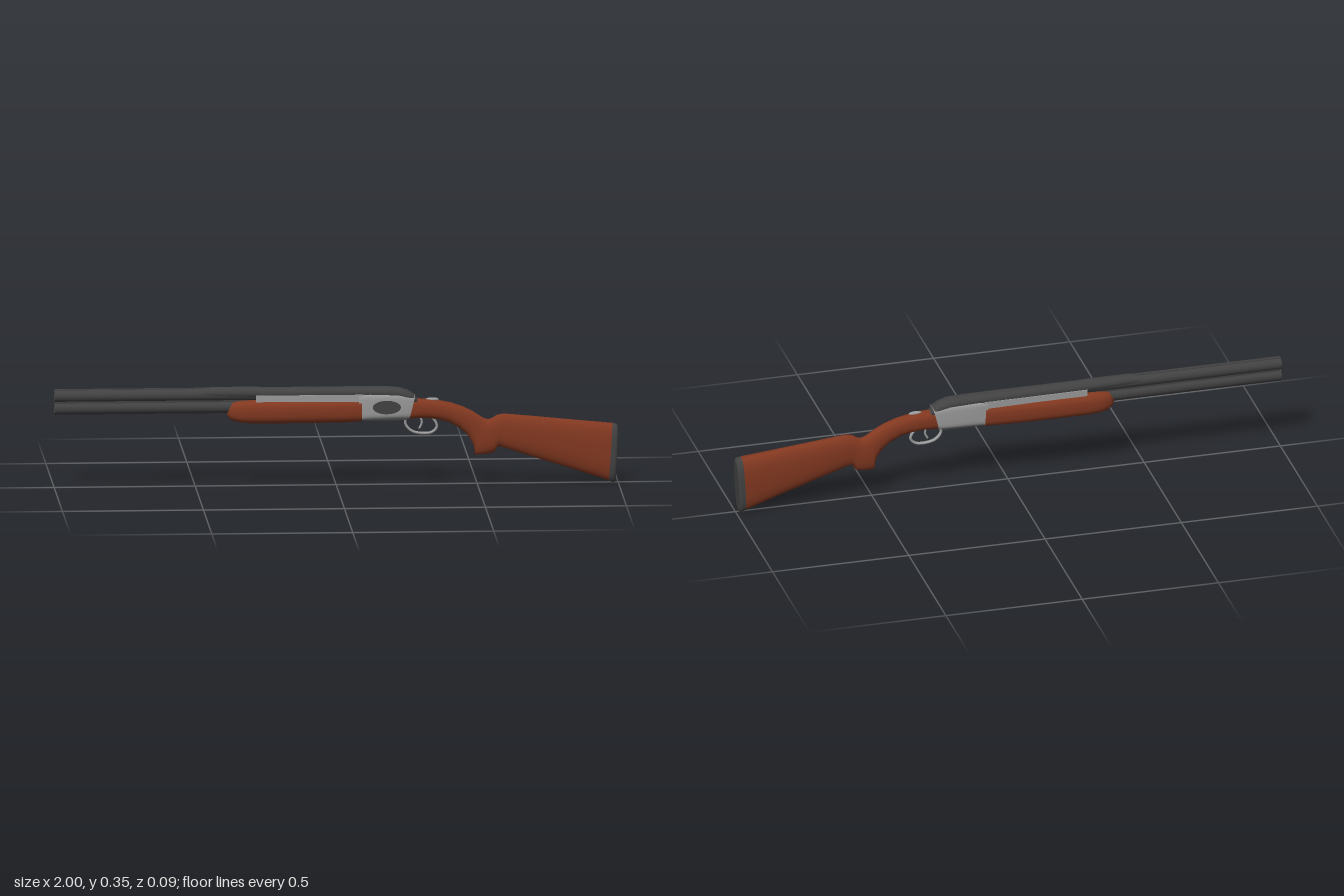
import * as THREE from 'three';

const mat = (name, color) => {
  const m = new THREE.MeshStandardMaterial({ color });
  m.name = name;
  return m;
};

// Loft of superellipse rings. Section: [topX, topY, bottomX, bottomY, halfWidth, exponent]
function loft(sections, n = 32) {
  const pos = [], idx = [];
  const ring = ([tx, ty, bx, by, w, e = 2.4]) => {
    for (let i = 0; i < n; i++) {
      const a = (i / n) * Math.PI * 2, c = Math.cos(a), s = Math.sin(a);
      const v = Math.sign(c) * Math.abs(c) ** (2 / e);
      const u = Math.sign(s) * Math.abs(s) ** (2 / e);
      pos.push((tx + bx) / 2 + v * (tx - bx) / 2, (ty + by) / 2 + v * (ty - by) / 2, u * w);
    }
  };
  sections.forEach(ring);
  for (let k = 0; k < sections.length - 1; k++) {
    for (let i = 0; i < n; i++) {
      const a = k * n + i, b = k * n + (i + 1) % n;
      idx.push(a, a + n, b, b, a + n, b + n);
    }
  }
  // End caps with their own vertices
  [sections[0], sections[sections.length - 1]].forEach((s, end) => {
    const base = pos.length / 3;
    ring(s);
    for (let i = 1; i < n - 1; i++) {
      if (end) idx.push(base, base + i + 1, base + i);
      else idx.push(base, base + i, base + i + 1);
    }
  });
  // Orient outward: flip everything if the signed volume is negative
  let vol = 0;
  const p = (i) => new THREE.Vector3(pos[i * 3], pos[i * 3 + 1], pos[i * 3 + 2]);
  for (let i = 0; i < idx.length; i += 3) vol += p(idx[i]).dot(p(idx[i + 1]).cross(p(idx[i + 2])));
  if (vol < 0) idx.reverse();
  const g = new THREE.BufferGeometry();
  g.setAttribute('position', new THREE.Float32BufferAttribute(pos, 3));
  g.setIndex(idx);
  g.computeVertexNormals();
  return g;
}

// Upright section at one x
const up = (x, top, bottom, w, e) => [x, top, x, bottom, w, e];

export function createModel() {
  const group = new THREE.Group();
  group.name = 'sportingGun';
  const wood = mat('reddish wood', 0x823820);
  const dark = mat('dark steel', 0x424242);
  const silver = mat('silver steel', 0x9a9a9a);

  const add = (name, geometry, material, x = 0, y = 0, z = 0) => {
    const m = new THREE.Mesh(geometry, material);
    m.name = name;
    m.position.set(x, y, z);
    group.add(m);
    return m;
  };

  // Two stacked barrels with open bores
  const barrel = (name, y, end) => {
    const profile = [[0.0001, -0.9], [0.016, -0.9], [0.016, -1], [0.016, -1], [0.0225, -1],
      [0.0225, -1], [0.0225, -0.5], [0.024, end], [0.024, end], [0.0001, end]]
      .map(([r, t]) => new THREE.Vector2(r, t));
    const m = add(name, new THREE.LatheGeometry(profile, 28).rotateZ(-Math.PI / 2), dark, 0, y);
    return m;
  };
  barrel('upperBarrel', 0.332, 0.15);
  barrel('lowerBarrel', 0.288, 0.1);
  add('barrelWeb', new THREE.BoxGeometry(1.08, 0.03, 0.026), dark, -0.455, 0.31);
  add('sightRib', new THREE.BoxGeometry(1.1, 0.006, 0.014), dark, -0.448, 0.353);

  // Breech cover sloping down to the wrist
  add('breechCover', loft([
    up(-0.48, 0.355, 0.32, 0.022, 2), up(-0.44, 0.359, 0.318, 0.024, 2), up(-0.29, 0.359, 0.315, 0.026, 2),
    up(-0.26, 0.357, 0.313, 0.026, 2), up(0.1, 0.356, 0.312, 0.028, 2.2), up(0.19, 0.355, 0.31, 0.029, 2.2),
    up(0.225, 0.352, 0.305, 0.029, 2.2), up(0.255, 0.342, 0.3, 0.028, 2.2), up(0.277, 0.328, 0.295, 0.026, 2.2),
    up(0.288, 0.312, 0.29, 0.02, 2.2),
  ]), dark);

  // Receiver body, its side rails and floor plate
  add('receiver', loft([
    up(0.08, 0.334, 0.237, 0.032, 5), up(0.12, 0.335, 0.24, 0.034, 5),
    up(0.22, 0.333, 0.242, 0.033, 5), [0.28, 0.325, 0.258, 0.24, 0.029, 4],
  ]), silver);
  for (const side of [1, -1]) {
    add('sideRail', new THREE.BoxGeometry(0.38, 0.026, 0.006), silver, -0.095, 0.318, side * 0.0265);
  }
  add('floorPlate', new THREE.BoxGeometry(0.15, 0.006, 0.04), dark, 0.172, 0.2395);

  // Oval plate on the front side only
  const oval = new THREE.CylinderGeometry(1, 1, 0.006, 32).rotateX(Math.PI / 2).scale(0.05, 0.024, 1);
  add('sidePlate', oval, dark, 0.178, 0.285, 0.0335);

  // Forend with a rounded nose
  add('forend', loft([
    up(-0.386, 0.285, 0.257, 0.012, 2.4), up(-0.38, 0.299, 0.247, 0.024, 2.4), up(-0.365, 0.308, 0.238, 0.033, 2.6),
    up(-0.335, 0.312, 0.231, 0.04, 2.8), up(-0.29, 0.314, 0.228, 0.043, 2.8), up(-0.1, 0.314, 0.228, 0.043, 2.8),
    up(0.03, 0.314, 0.229, 0.039, 2.8), up(0.09, 0.314, 0.232, 0.036, 3),
  ]), wood);

  // Wrist, pistol grip and butt in one flowing loft
  add('stock', loft([
    [0.275, 0.312, 0.255, 0.24, 0.027, 2.8], [0.32, 0.309, 0.31, 0.242, 0.027, 2.6],
    [0.37, 0.303, 0.36, 0.236, 0.025, 2.3], [0.41, 0.295, 0.4, 0.225, 0.024, 2.2],
    [0.45, 0.281, 0.437, 0.205, 0.024, 2.2], [0.485, 0.264, 0.467, 0.178, 0.024, 2.2],
    [0.51, 0.247, 0.486, 0.145, 0.024, 2.3], [0.525, 0.238, 0.492, 0.108, 0.024, 2.5],
    [0.54, 0.234, 0.53, 0.109, 0.025, 2.5], [0.553, 0.238, 0.56, 0.115, 0.025, 2.5],
    [0.57, 0.249, 0.575, 0.137, 0.025, 2.4], [0.595, 0.254, 0.6, 0.13, 0.026, 2.4],
    [0.7, 0.244, 0.7, 0.097, 0.028, 2.4], [0.85, 0.229, 0.84, 0.052, 0.031, 2.5],
    [0.98, 0.216, 0.967, 0.01, 0.034, 2.8],
  ]), wood);

  // Butt pad
  add('buttPad', loft([
    [0.979, 0.216, 0.966, 0.009, 0.0345, 2.8], [0.992, 0.214, 0.98, 0.004, 0.0345, 2.8],
    [0.998, 0.209, 0.987, 0.004, 0.033, 2.8], [1.0, 0.202, 0.99, 0.012, 0.029, 2.8],
  ]), dark);

  // Trigger guard loop, trigger and safety
  const guard = new THREE.CatmullRomCurve3([
    [0.245, 0.245], [0.247, 0.218], [0.268, 0.195], [0.305, 0.186],
    [0.34, 0.19], [0.357, 0.208], [0.353, 0.226], [0.34, 0.243],
  ].map(([x, y]) => new THREE.Vector3(x, y, 0)));
  add('triggerGuard', new THREE.TubeGeometry(guard, 40, 0.005, 10).scale(1, 1, 1.5), silver);
  const trigger = new THREE.CatmullRomCurve3([
    new THREE.Vector3(0.298, 0.248, 0), new THREE.Vector3(0.304, 0.225, 0), new THREE.Vector3(0.295, 0.203, 0),
  ]);
  add('trigger', new THREE.TubeGeometry(trigger, 12, 0.004, 8), silver);
  add('safetyCatch', new THREE.SphereGeometry(1, 16, 10).scale(0.025, 0.007, 0.008), silver, 0.34, 0.307);

  return group;
}
